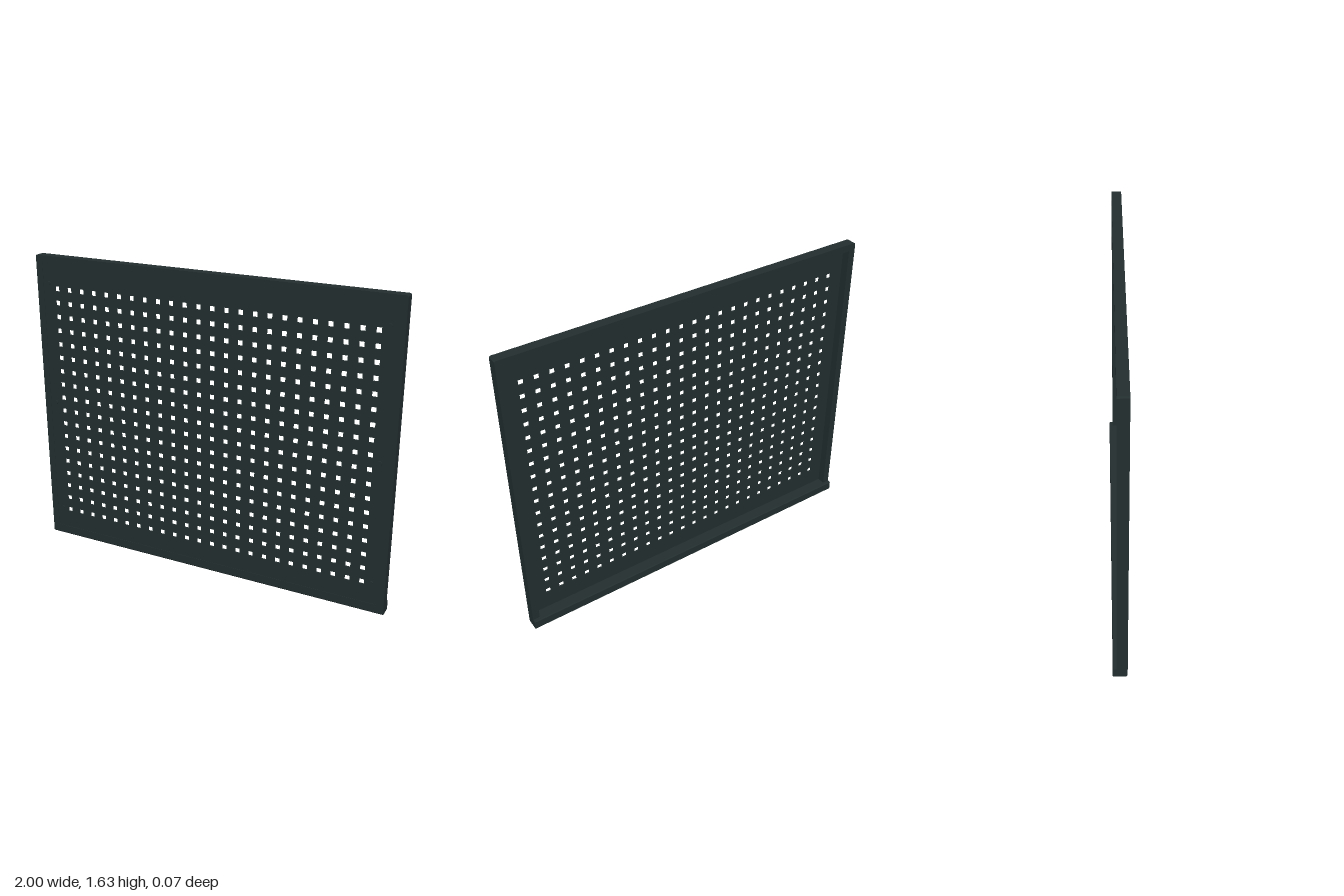
import * as THREE from 'three';

export function createModel() {
  const group = new THREE.Group();
  group.name = 'pegboardPanel';
  const paint = new THREE.MeshStandardMaterial({ color: 0x232e2f });
  paint.name = 'dark green grey paint';

  const FRONT = 0.035, BACK = -0.018, LIP = -0.037;
  const TOP = 1.635, RAIL = 0.053, EDGE = 0.038;

  const polygon = (points) => new THREE.Shape(points.map(([x, y]) => new THREE.Vector2(x, y)));
  const extrude = (shape, depth) =>
    new THREE.ExtrudeGeometry(shape, { depth, bevelEnabled: false });
  const add = (name, geometry) => {
    const mesh = new THREE.Mesh(geometry, paint);
    mesh.name = name;
    group.add(mesh);
    return mesh;
  };

  // Side and top members, one folded arch with small corner cuts
  const c = 0.006, inner = 1 - EDGE;
  const arch = polygon([
    [-1, RAIL], [-inner, RAIL], [-inner, TOP - EDGE], [inner, TOP - EDGE],
    [inner, RAIL], [1, RAIL], [1, TOP - c], [1 - c, TOP], [c - 1, TOP], [-1, TOP - c],
  ]);
  add('sideAndTopFrame', extrude(arch, FRONT - BACK)).position.z = BACK;

  // Bottom rail with a lip at the back; its profile is drawn as (-z, y)
  const profile = polygon([
    [-FRONT, 0.008], [-FRONT + 0.008, 0], [-LIP - 0.004, 0], [-LIP, 0.004],
    [-LIP, RAIL - 0.004], [-LIP - 0.004, RAIL], [-FRONT, RAIL],
  ]);
  const rail = add('bottomRail', extrude(profile, 2));
  rail.rotation.y = Math.PI / 2;
  rail.position.x = -1;

  // Perforated sheet set just behind the front of the frame
  const sheet = polygon([
    [-inner, RAIL], [inner, RAIL], [inner, TOP - EDGE], [-inner, TOP - EDGE],
  ]);
  const columns = 24, rows = 18, pitch = 0.0763, half = 0.0135;
  for (let i = 0; i < columns; i++) {
    for (let j = 0; j < rows; j++) {
      const x = (i - (columns - 1) / 2) * pitch;
      const y = 0.166 + j * pitch;
      const hole = polygon([
        [x - half, y - half], [x - half, y + half], [x + half, y + half], [x + half, y - half],
      ]);
      sheet.holes.push(hole);
    }
  }
  add('perforatedSheet', extrude(sheet, 0.008)).position.z = FRONT - 0.01;

  // Rivet heads down both sides
  const rivet = new THREE.CylinderGeometry(0.01, 0.012, 0.012, 16);
  rivet.rotateX(Math.PI / 2);
  for (const side of [-1, 1]) {
    for (const y of [0.17, 0.82, 1.49]) {
      add(side > 0 ? 'leftRivet' : 'rightRivet', rivet).position.set(side * 0.927, y, 0.031);
    }
  }

  return group;
}
